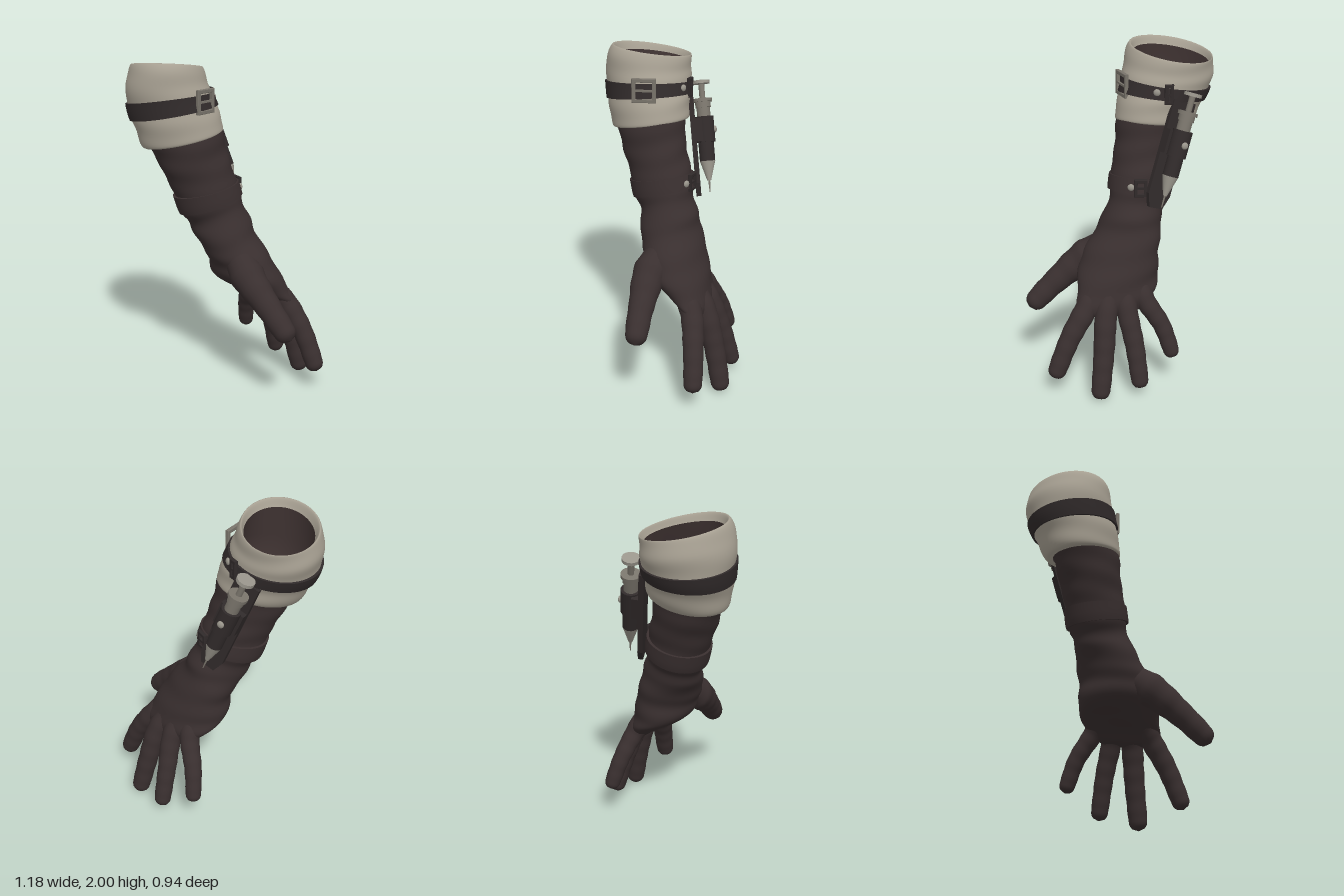
import * as THREE from 'three';
import { mergeVertices, toCreasedNormals } from 'three/addons/utils/BufferGeometryUtils.js';

const material = (name, color, side = THREE.FrontSide) => {
  const m = new THREE.MeshStandardMaterial({ color, side });
  m.name = name;
  return m;
};

// Section of the arm: [cx, cy, cz, half width, half thickness, turn, slope in x, slope in z]
const sec = (xl, yl, xr, yr, zf, zb, slopeZ = 0) =>
  [(xl + xr) / 2, (yl + yr) / 2, (zf + zb) / 2, (zf - zb) / 2, (xr - xl) / 2, 0, (yr - yl) / (xr - xl), slopeZ];

// Smooth blend between sections at parameter t (0 .. list length - 1)
function at(list, t) {
  const n = list.length - 1, i = Math.min(Math.floor(t), n - 1), f = t - i;
  const g = k => list[Math.max(0, Math.min(n, k))];
  const [a, b, c, d] = [g(i - 1), g(i), g(i + 1), g(i + 2)];
  return b.map((_, k) => 0.5 * (2 * b[k] + (c[k] - a[k]) * f + (2 * a[k] - 5 * b[k] + 4 * c[k] - d[k]) * f * f
    + (3 * b[k] - a[k] - 3 * c[k] + d[k]) * f * f * f));
}

// Point on a section, pushed out by e, with optional cloth folds
function point(s, th, e = 0, fold = 0) {
  const [cx, cy, cz, w, t, phi, a, b] = s;
  const k = 1 + fold * (Math.sin(cy * 46 + 2 * Math.sin(th + 1)) + 0.7 * Math.sin(cy * 27 - 3 * th));
  const u = Math.max(0.001, w + e) * k * Math.cos(th), v = Math.max(0.001, t + e) * k * Math.sin(th);
  const dx = u * Math.sin(phi) + v * Math.cos(phi), dz = u * Math.cos(phi) - v * Math.sin(phi);
  return new THREE.Vector3(cx + dx, cy + a * dx + b * dz, cz + dz);
}

// Skin over rows of { s, e, fold }
function skin(rows, n = 56) {
  const pos = [], idx = [];
  rows.forEach(({ s, e, fold }) => {
    for (let j = 0; j < n; j++) pos.push(...point(s, j / n * Math.PI * 2, e, fold).toArray());
  });
  for (let i = 0; i < rows.length - 1; i++) for (let j = 0; j < n; j++) {
    const a = i * n + j, d = i * n + (j + 1) % n, b = a + n, c = d + n;
    idx.push(a, b, d, b, c, d);
  }
  const g = new THREE.BufferGeometry();
  g.setAttribute('position', new THREE.Float32BufferAttribute(pos, 3));
  g.setIndex(idx);
  g.computeVertexNormals();
  return g;
}

function loft(list, fold, steps = 8) {
  const rows = [], n = (list.length - 1) * steps;
  for (let i = 0; i <= n; i++) rows.push({ s: at(list, i / steps), e: 0, fold });
  return skin(rows);
}

// Strap wrapped round a lofted part between t0 and t1
function band(list, t0, t1, e) {
  const rows = [{ s: at(list, t0), e: -0.02 }];
  for (let i = 0; i <= 4; i++) rows.push({ s: at(list, t0 + (t1 - t0) * i / 4), e });
  rows.push({ s: at(list, t1), e: -0.02 });
  return toCreasedNormals(skin(rows), 0.7);
}

// Tapered tube with rounded ends
function finger(points, radii) {
  const curve = new THREE.CatmullRomCurve3(points.map(p => new THREE.Vector3(...p)));
  const seg = 48, rad = 18, len = curve.getLength();
  let g = new THREE.TubeGeometry(curve, seg, 1, rad);
  const p = g.attributes.position, v = new THREE.Vector3();
  for (let i = 0; i <= seg; i++) {
    const t = i / seg, c = curve.getPointAt(t), x = t * (radii.length - 1);
    const k = Math.min(Math.floor(x), radii.length - 2);
    let r = THREE.MathUtils.lerp(radii[k], radii[k + 1], x - k) * (1 + 0.02 * Math.sin(t * 40));
    const d = Math.min(t, 1 - t) * len;
    if (d < r) r *= Math.sqrt(Math.max(0.0004, 1 - (1 - d / r) ** 2));
    for (let j = 0; j <= rad; j++) {
      const q = i * (rad + 1) + j;
      v.fromBufferAttribute(p, q).sub(c).multiplyScalar(r).add(c);
      p.setXYZ(q, v.x, v.y, v.z);
    }
  }
  g.deleteAttribute('uv');
  g.deleteAttribute('normal');
  g = mergeVertices(g, 1e-5);
  g.computeVertexNormals();
  return g;
}

export function createModel() {
  const root = new THREE.Group();
  const leather = material('glove leather', 0x392f2f);
  const strap = material('strap leather', 0x302a2a);
  const cloth = material('cuff cloth', 0xa8a193);
  const lining = material('lining', 0x3e3231, THREE.DoubleSide);
  const metal = material('metal', 0x79746b);
  const pale = material('pale metal', 0x99958b);
  const add = (parent, name, geo, mat, x = 0, y = 0, z = 0) => {
    const m = new THREE.Mesh(geo, mat);
    m.name = name;
    m.position.set(x, y, z);
    parent.add(m);
    return m;
  };

  // Cloth cuff, rolled at the rim
  const cuff = [
    sec(-0.515, 1.92, -0.135, 1.905, 0.02, -0.43, 0.15),
    sec(-0.54, 1.965, -0.115, 1.945, 0.05, -0.45, 0.16),
    sec(-0.575, 1.86, -0.09, 1.86, 0.085, -0.45, 0.14),
    sec(-0.565, 1.71, -0.06, 1.78, 0.09, -0.425, 0.09),
    sec(-0.53, 1.6, -0.025, 1.69, 0.1, -0.39, 0.03),
    sec(-0.485, 1.49, 0.0, 1.59, 0.1, -0.35),
    sec(-0.44, 1.49, -0.03, 1.58, 0.07, -0.31)];
  add(root, 'cuff', loft(cuff, 0.01), cloth);
  add(root, 'cuffLining', skin([
    { s: cuff[0], e: 0.006 },
    { s: sec(-0.51, 1.75, -0.1, 1.8, 0.03, -0.38), e: 0 },
    { s: sec(-0.44, 1.53, -0.04, 1.6, 0.04, -0.29), e: 0 },
    { s: sec(-0.24, 1.56, -0.239, 1.56, -0.12, -0.121), e: 0 }]), lining);

  // Glove from forearm to knuckles
  const glove = [
    sec(-0.455, 1.52, -0.005, 1.6, 0.085, -0.31),
    sec(-0.385, 1.37, 0.02, 1.45, 0.08, -0.29),
    sec(-0.31, 1.22, 0.07, 1.3, 0.075, -0.28),
    sec(-0.265, 1.09, 0.1, 1.2, 0.075, -0.28),
    sec(-0.215, 1.02, 0.115, 1.13, 0.06, -0.26),
    sec(-0.185, 0.95, 0.16, 1.05, 0.09, -0.265),
    sec(-0.13, 0.86, 0.185, 0.96, 0.12, -0.275),
    [0.085, 0.81, -0.06, 0.22, 0.17, 0.3, 0.2, 0],
    [0.135, 0.695, -0.06, 0.245, 0.175, 0.6, 0.1, 0],
    [0.215, 0.6, -0.08, 0.24, 0.13, 0.65, 0, 0],
    [0.275, 0.535, -0.085, 0.215, 0.08, 0.65, 0, 0],
    [0.3, 0.49, -0.09, 0.15, 0.045, 0.65, 0, 0],
    [0.31, 0.475, -0.09, 0.001, 0.001, 0.65, 0, 0]];
  add(root, 'gloveArmAndPalm', loft(glove, 0.014), leather);

  // Fingers
  const fingers = {
    thumb: [[[0.07, 0.87, -0.05], [0.12, 0.745, 0.15], [0.235, 0.59, 0.315], [0.345, 0.435, 0.445]], [0.08, 0.105, 0.076, 0.063]],
    indexFinger: [[[0.26, 0.64, 0.025], [0.37, 0.53, 0.045], [0.47, 0.36, 0.11], [0.555, 0.115, 0.18]], [0.07, 0.067, 0.06, 0.055]],
    middleFinger: [[[0.26, 0.64, -0.06], [0.36, 0.5, -0.075], [0.43, 0.28, -0.09], [0.5, 0.0, -0.095]], [0.07, 0.066, 0.061, 0.056]],
    ringFinger: [[[0.21, 0.64, -0.13], [0.28, 0.52, -0.175], [0.325, 0.31, -0.245], [0.37, 0.055, -0.305]], [0.07, 0.061, 0.056, 0.051]],
    littleFinger: [[[0.15, 0.66, -0.18], [0.18, 0.55, -0.25], [0.172, 0.39, -0.36], [0.18, 0.195, -0.44]], [0.07, 0.058, 0.052, 0.047]]
  };
  for (const [name, [pts, radii]] of Object.entries(fingers)) add(root, name, finger(pts, radii), leather);

  // Straps
  add(root, 'cuffStrap', band(cuff, 2.8, 3.6, 0.012), strap);
  add(root, 'wristStrap', band(glove, 2.25, 3.15, 0.012), leather);

  // Hardware placed on a strap, facing outwards
  const mount = (list, t, deg, off, name) => {
    const g = new THREE.Group(), th = THREE.MathUtils.degToRad(deg), s = at(list, t);
    g.name = name;
    g.position.copy(point(s, th, off));
    g.lookAt(g.position.clone().add(new THREE.Vector3(Math.sin(th), 0, Math.cos(th))));
    root.add(g);
    return g;
  };
  const rect = (path, w, h) => path.moveTo(-w, -h).lineTo(w, -h).lineTo(w, h).lineTo(-w, h).closePath();
  const buckle = (list, t, deg, w, h, bar, mat, name) => {
    const g = mount(list, t, deg, 0.008, name);
    const shape = rect(new THREE.Shape(), w, h);
    shape.holes.push(rect(new THREE.Path(), w - bar, h - bar));
    add(g, 'buckleFrame', new THREE.ExtrudeGeometry(shape,
      { depth: 0.014, bevelSize: 0.004, bevelThickness: 0.004, bevelSegments: 2 }), mat);
    add(g, 'bucklePin', new THREE.BoxGeometry(w * 2, 0.012, 0.012), mat, 0, 0, 0.012);
  };
  buckle(cuff, 3.15, 46, 0.068, 0.068, 0.015, metal, 'cuffBuckle');
  buckle(cuff, 3.15, 117, 0.022, 0.055, 0.012, strap, 'cuffRing');
  buckle(glove, 2.7, 114, 0.035, 0.05, 0.013, strap, 'wristBuckle');
  const ball = new THREE.SphereGeometry(0.021, 16, 10).scale(1, 1, 0.6);
  [[cuff, 3.15, 102], [glove, 2.75, 97]].forEach(([l, t, d]) =>
    add(mount(l, t, d, 0.012, 'strapStud'), 'stud', ball, pale));

  // Syringe in its holster: local y runs along the barrel, z points away from the arm
  const top = new THREE.Vector3(-0.12, 1.765, -0.415);
  const up = top.clone().sub(new THREE.Vector3(0.06, 1.25, -0.335)).normalize();
  const out = new THREE.Vector3(0.65, 0, -0.76).addScaledVector(up, -up.dot(new THREE.Vector3(0.65, 0, -0.76))).normalize();
  const syringe = new THREE.Group();
  syringe.name = 'syringe';
  syringe.position.copy(top);
  syringe.quaternion.setFromRotationMatrix(
    new THREE.Matrix4().makeBasis(new THREE.Vector3().crossVectors(up, out), up, out));
  root.add(syringe);
  const rod = (name, mat, y0, y1, r0, r1 = r0) =>
    add(syringe, name, new THREE.CylinderGeometry(r0, r1, y0 - y1, 24), mat, 0, (y0 + y1) / 2, 0);
  rod('plungerDisc', pale, 0, -0.02, 0.052);
  rod('plungerRod', metal, -0.02, -0.12, 0.018);
  rod('fingerFlange', metal, -0.11, -0.13, 0.058);
  rod('barrelCollar', metal, -0.13, -0.165, 0.047);
  rod('barrel', metal, -0.165, -0.24, 0.041);
  rod('holsterSleeve', strap, -0.22, -0.375, 0.058);
  rod('holsterCup', strap, -0.375, -0.49, 0.047);
  rod('syringeTip', pale, -0.49, -0.61, 0.047, 0.012);
  rod('needle', metal, -0.61, -0.68, 0.006, 0.003);
  add(syringe, 'holsterTab', new THREE.BoxGeometry(0.15, 0.14, 0.05), strap, 0, -0.3, -0.04);
  add(syringe, 'holsterStud', ball, pale, 0, -0.3, 0.06);
  const plate = new THREE.Shape().moveTo(-0.075, -0.06).lineTo(-0.075, -0.62).lineTo(-0.045, -0.7)
    .lineTo(0.045, -0.7).lineTo(0.075, -0.62).lineTo(0.075, -0.06).closePath();
  add(syringe, 'holsterPlate', new THREE.ExtrudeGeometry(plate, { depth: 0.03, bevelEnabled: false }), strap, 0, 0, -0.085);
  return root;
}
